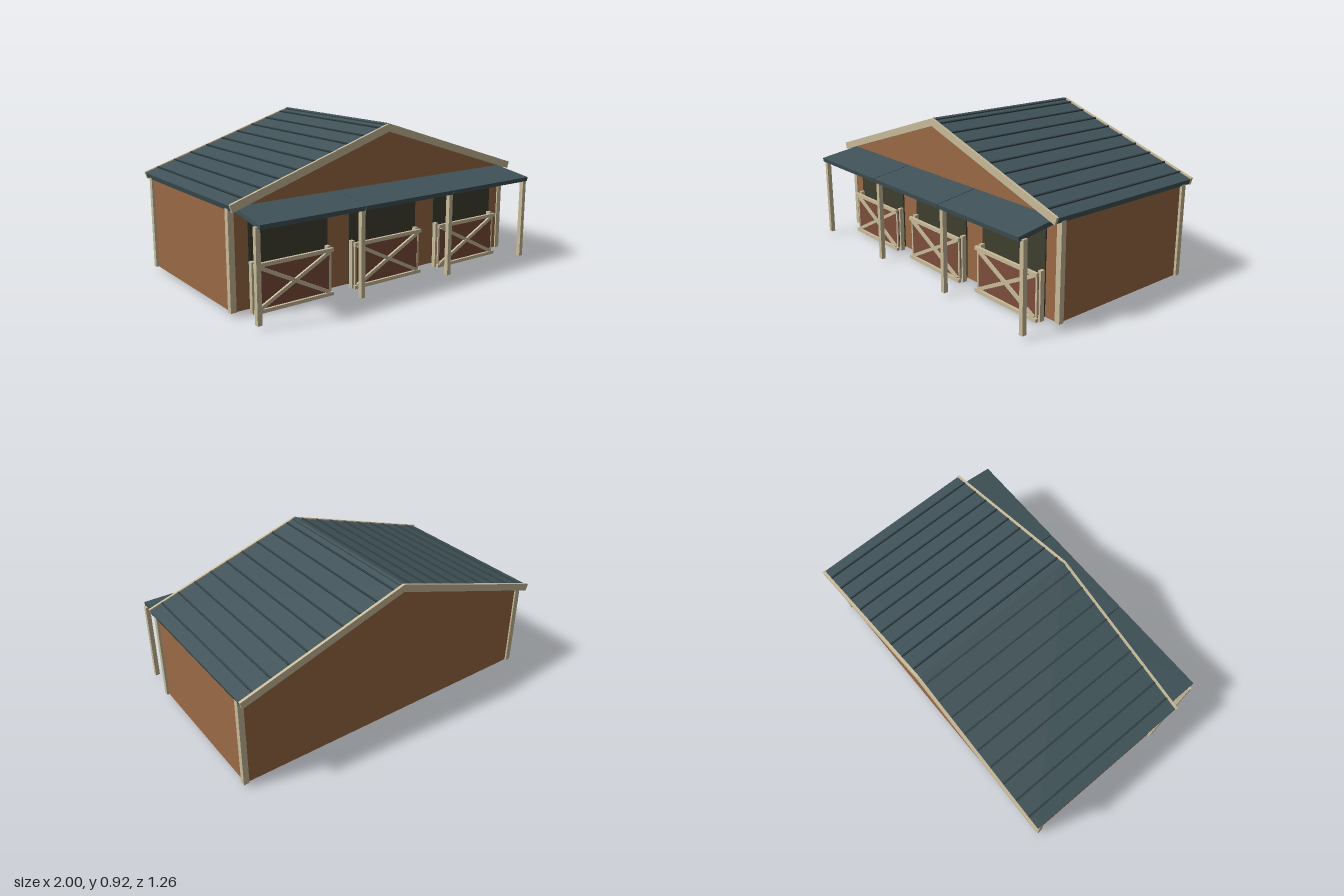
import * as THREE from 'three';

const paint = (name, color) => {
  const m = new THREE.MeshStandardMaterial({ color });
  m.name = name;
  return m;
};

export function createModel() {
  const wood = paint('wall wood', 0x9b6a45);
  const trim = paint('cream trim', 0xcabc9b);
  const metal = paint('roof metal', 0x405359);
  const seam = paint('roof seam', 0x303f44);
  const doorRed = paint('door panel', 0x7d4e3c);
  const dark = paint('stall opening', 0x40402f);

  const barn = new THREE.Group();
  barn.name = 'stableBarn';

  const add = (parent, name, geometry, material) => {
    const mesh = new THREE.Mesh(geometry, material);
    mesh.name = name;
    parent.add(mesh);
    return mesh;
  };
  // Box given by its min and max on each axis
  const box = (parent, name, material, [x0, x1], [y0, y1], [z0, z1]) => {
    const mesh = add(parent, name, new THREE.BoxGeometry(x1 - x0, y1 - y0, z1 - z0), material);
    mesh.position.set((x0 + x1) / 2, (y0 + y1) / 2, (z0 + z1) / 2);
    return mesh;
  };
  // Front outline extruded from z0 to z1
  const prism = (name, material, points, z0, z1) => {
    const shape = new THREE.Shape(points.map(([x, y]) => new THREE.Vector2(x, y)));
    const mesh = add(barn, name, new THREE.ExtrudeGeometry(shape, { depth: z1 - z0, bevelEnabled: false }), material);
    mesh.position.z = z0;
    return mesh;
  };

  // Walls and gables in one solid
  prism('walls', wood, [[-0.975, 0.02], [0.975, 0.02], [0.975, 0.57], [0, 0.88], [-0.975, 0.57]], -0.57, 0.38);

  // Corner posts
  for (const s of [-1, 1]) {
    for (const z of [-0.565, 0.373]) {
      const post = box(barn, 'cornerPost', trim, [0.957, 0.99], [0.02, 0.565], [z - 0.0155, z + 0.0155]);
      post.position.x *= s;
    }
  }

  // Roof and gable boards: bent bands with square-cut ends
  const slope = 0.32;
  const band = (peak, half, thick) => {
    const end = peak - slope * half, inset = thick * 0.29;
    return [[-half, end], [-half + inset, end - thick * 0.91], [0, peak - thick],
      [half - inset, end - thick * 0.91], [half, end], [0, peak]];
  };
  prism('roof', metal, band(0.906, 0.997, 0.033), -0.616, 0.422);
  prism('frontGableBoard', trim, band(0.913, 1, 0.044), 0.42, 0.435);
  prism('backGableBoard', trim, band(0.913, 1, 0.044), -0.63, -0.614);
  prism('ridgeCap', metal, band(0.915, 0.017, 0.012), -0.614, 0.42);

  // Standing seams on both slopes
  for (const s of [-1, 1]) {
    for (let i = 0; i < 9; i++) {
      const x = s * (0.055 + i * 0.108);
      const rib = add(barn, 'roofSeam', new THREE.BoxGeometry(0.01, 0.014, 1.034), seam);
      rib.position.set(x, 0.907 - slope * Math.abs(x), -0.097);
      rib.rotation.z = -s * Math.atan(slope);
    }
  }

  // Porch posts
  for (const x of [-0.95, -0.317, 0.317, 0.95]) {
    box(barn, 'porchPost', trim, [x - 0.013, x + 0.013], [0.02, 0.515], [0.584, 0.61]);
  }

  // Stalls: canopy, dark opening and half door
  const tilt = 0.156;
  for (const x of [-0.635, 0, 0.635]) {
    const stall = new THREE.Group();
    stall.name = 'stall';
    stall.position.x = x;
    barn.add(stall);

    const canopy = add(stall, 'canopy', new THREE.BoxGeometry(0.63, 0.025, 0.253), metal);
    canopy.position.set(0, 0.537, 0.505);
    canopy.rotation.x = tilt;

    box(stall, 'opening', dark, [-0.245, 0.245], [0.02, 0.51], [0.379, 0.388]);
    box(stall, 'doorPanel', doorRed, [-0.232, 0.232], [0.02, 0.262], [0.413, 0.431]);
    box(stall, 'topRail', trim, [-0.245, 0.245], [0.252, 0.273], [0.429, 0.446]);
    box(stall, 'bottomRail', trim, [-0.245, 0.245], [0.005, 0.025], [0.429, 0.446]);
    for (const s of [-1, 1]) {
      const stile = box(stall, 'doorStile', trim, [0.225, 0.245], [0, 0.277], [0.387, 0.415]);
      stile.position.x *= s;
      // Narrow edge strip beside the panel
      const edge = box(stall, 'doorEdge', trim, [0.226, 0.238], [0.02, 0.262], [0.424, 0.433]);
      edge.position.x *= s;
      const brace = add(stall, 'crossBrace', new THREE.BoxGeometry(0.5, 0.02, 0.014), trim);
      brace.position.set(0, 0.139, 0.437 + s * 0.0005);
      brace.rotation.z = s * Math.atan2(0.232, 0.45);
    }
  }

  return barn;
}
